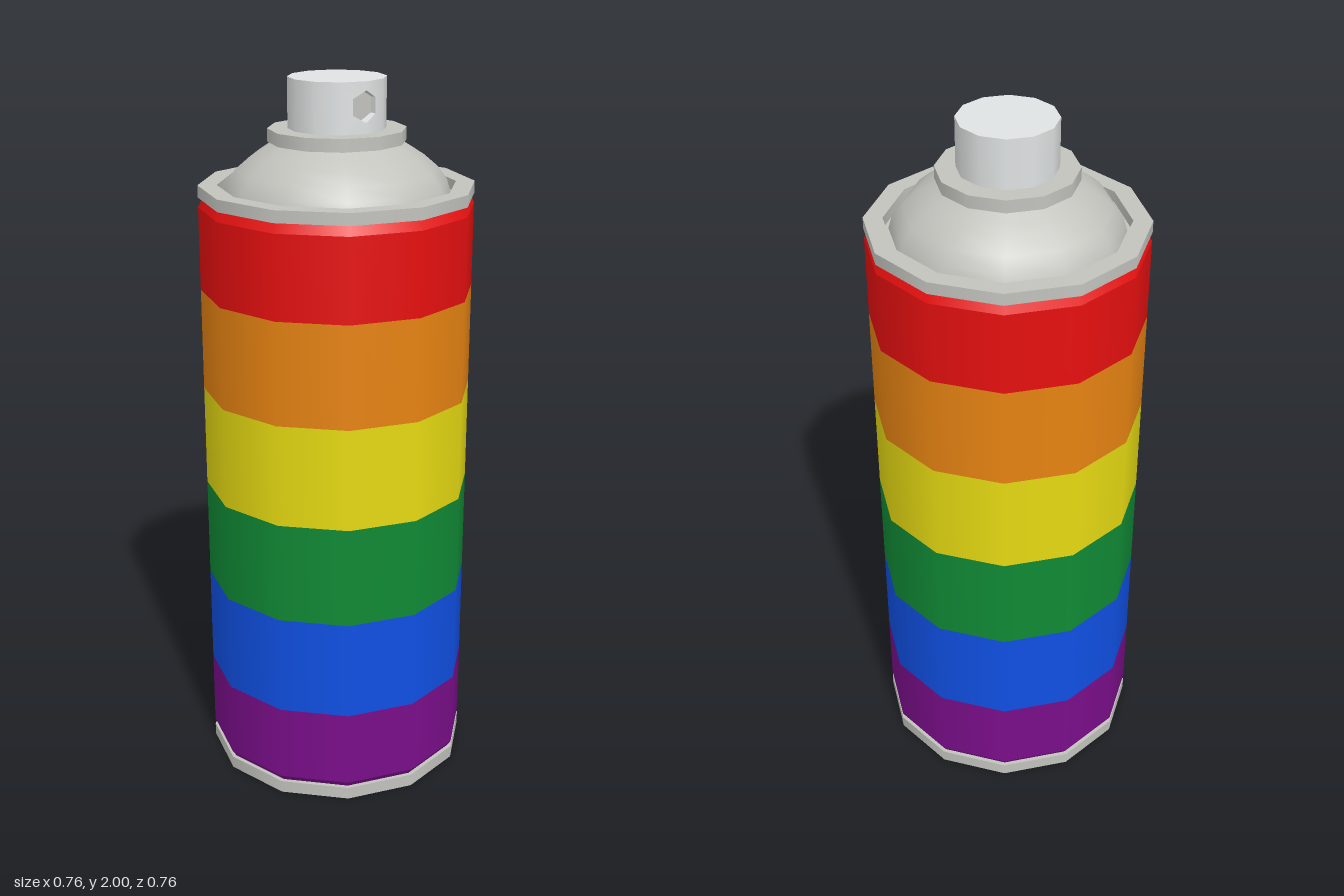
import * as THREE from 'three';
import { mergeGeometries } from 'three/addons/utils/BufferGeometryUtils.js';

const SIDES = 12;

function material(name, color, side = THREE.FrontSide) {
  const m = new THREE.MeshStandardMaterial({ color, side });
  m.name = name;
  return m;
}

function addMesh(parent, name, geometry, mat) {
  const mesh = new THREE.Mesh(geometry, mat);
  mesh.name = name;
  parent.add(mesh);
  return mesh;
}

// Smooth around the axis and along the profile
function lathe(points, segments = SIDES, start = 0, length = Math.PI * 2) {
  return new THREE.LatheGeometry(points.map(([r, y]) => new THREE.Vector2(r, y)), segments, start, length);
}

// Smooth around the axis, sharp at every profile corner
function sharpLathe(points) {
  const bands = [];
  for (let i = 0; i < points.length - 1; i++) bands.push(lathe([points[i], points[i + 1]]));
  return mergeGeometries(bands);
}

export function createModel() {
  const model = new THREE.Group();
  model.name = 'sprayCan';
  const metal = material('metal', 0xc3c3be);
  const plastic = material('nozzlePlastic', 0xe0e3e3, THREE.DoubleSide);

  // Base ring with closed underside
  addMesh(model, 'baseRing', sharpLathe([[0, 0], [0.378, 0], [0.378, 0.036], [0.35, 0.036]]), metal);

  // Striped body, chamfered at both ends
  const stripes = [
    ['purple', 0x7a0e8a], ['blue', 0x1050e4], ['green', 0x108a35],
    ['yellow', 0xe6da12], ['orange', 0xe88412], ['red', 0xea1010],
  ];
  const levels = [0.036, 0.275, 0.562, 0.85, 1.138, 1.425, 1.685];
  const body = new THREE.Group();
  body.name = 'body';
  model.add(body);
  stripes.forEach(([name, color], i) => {
    const geos = [];
    let low = levels[i], high = levels[i + 1];
    if (i === 0) {
      geos.push(lathe([[0.366, low], [0.378, low + 0.018]]));
      low += 0.018;
    }
    if (i === stripes.length - 1) {
      geos.push(lathe([[0.378, high - 0.03], [0.364, high]]));
      high -= 0.03;
    }
    geos.push(lathe([[0.378, low], [0.378, high]]));
    addMesh(body, name + 'Stripe', mergeGeometries(geos), material(name, color));
  });

  // Top rim and the groove inside it
  addMesh(model, 'topRim', sharpLathe([
    [0.35, 1.682], [0.378, 1.682], [0.378, 1.715], [0.326, 1.715], [0.326, 1.685], [0.305, 1.685],
  ]), metal);

  // Domed shoulder and collar
  addMesh(model, 'dome', lathe([
    [0.312, 1.685], [0.301, 1.722], [0.275, 1.757], [0.236, 1.79], [0.205, 1.81], [0.17, 1.832],
  ]), metal);
  addMesh(model, 'collar', sharpLathe([[0.12, 1.83], [0.188, 1.83], [0.188, 1.865], [0, 1.865]]), metal);

  // Spray button: ten plain sides, the top, and two front sides cut by a hexagonal hole
  const R = 0.133, base = 1.865, top = 2;
  const step = Math.PI / 6, edgeX = R * Math.sin(step);
  const slope = (R - R * Math.cos(step)) / edgeX;
  const frontZ = x => R - slope * Math.abs(x);
  const holeY = 1.935, holeR = 0.042, holeX = holeR * Math.cos(step);
  const button = new THREE.Group();
  button.name = 'sprayButton';
  model.add(button);
  addMesh(button, 'buttonSide', lathe([[R, base], [R, top]], 10, step, 10 * step), plastic);
  addMesh(button, 'buttonTop', lathe([[R, top], [0, top]]), plastic);
  for (const s of [1, -1]) {
    const outline = [
      [0, base], [edgeX, base], [edgeX, top], [0, top], [0, holeY + holeR],
      [holeX, holeY + holeR / 2], [holeX, holeY - holeR / 2], [0, holeY - holeR],
    ];
    const geo = new THREE.ShapeGeometry(new THREE.Shape(outline.map(([x, y]) => new THREE.Vector2(s * x, y))));
    const p = geo.attributes.position, n = geo.attributes.normal, v = new THREE.Vector3();
    for (let i = 0; i < p.count; i++) {
      p.setZ(i, frontZ(p.getX(i)));
      v.set(p.getX(i), 0, p.getZ(i)).normalize();
      n.setXYZ(i, v.x, v.y, v.z);
    }
    addMesh(button, s > 0 ? 'leftFrontSide' : 'rightFrontSide', geo, plastic);
  }

  // Recessed nozzle walls follow the folded front, with a flat floor
  const floorZ = 0.103;
  let walls = new THREE.CylinderGeometry(holeR, holeR, 1, 6, 1, true).rotateX(Math.PI / 2).toNonIndexed();
  const w = walls.attributes.position;
  for (let i = 0; i < w.count; i++) w.setZ(i, w.getZ(i) > 0 ? frontZ(w.getX(i)) : floorZ);
  walls.computeVertexNormals();
  addMesh(button, 'nozzleWalls', walls, plastic).position.y = holeY;
  addMesh(button, 'nozzleFloor', new THREE.CircleGeometry(holeR, 6, step), metal).position.set(0, holeY, floorZ);

  return model;
}
